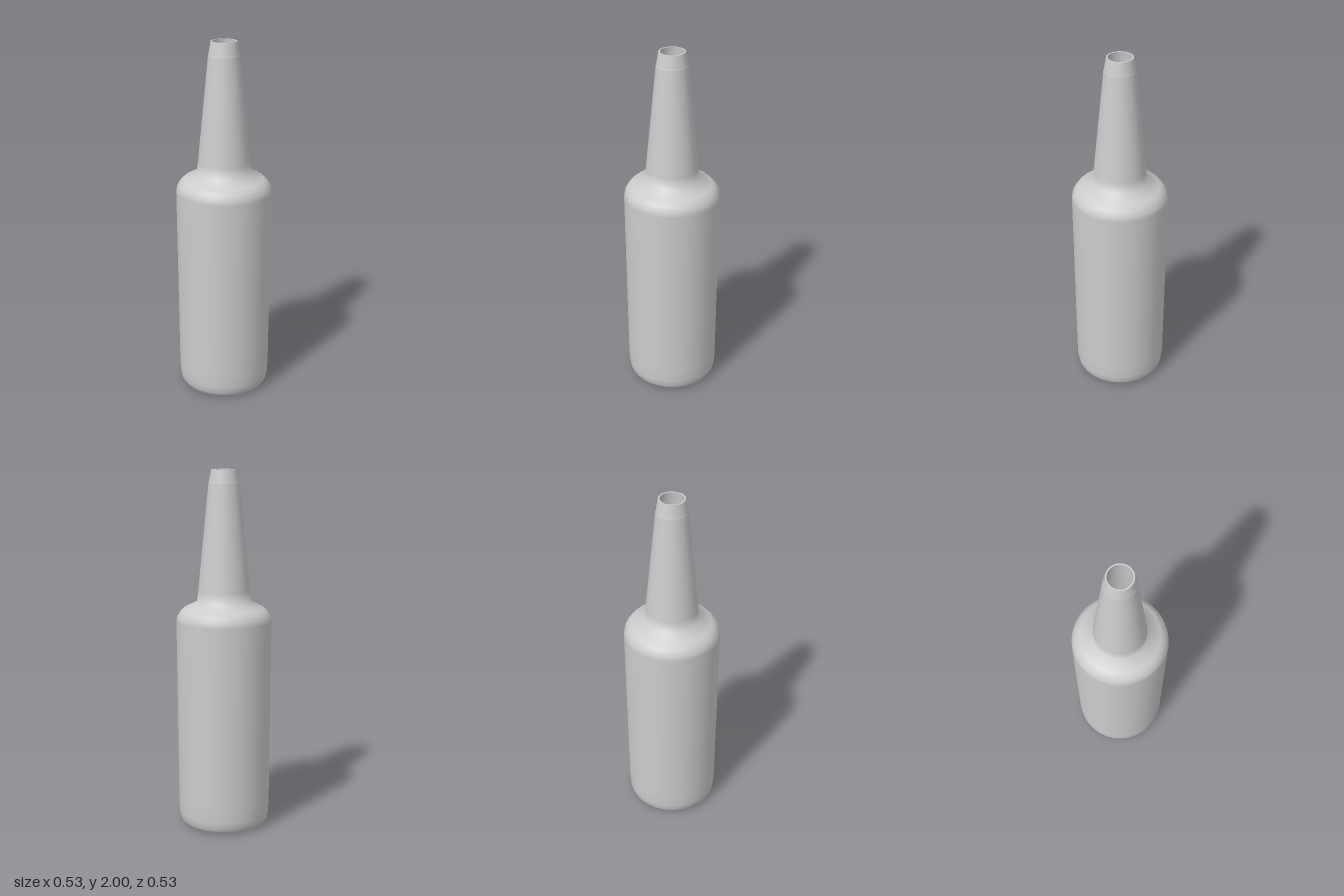
import * as THREE from 'three';

const SIDES = 32;

export function createModel() {
  const group = new THREE.Group();
  const grey = new THREE.MeshStandardMaterial({ color: 0xcccccc });
  grey.name = 'plain grey';

  // Turns one smooth stretch of the profile; separate stretches meet in a sharp edge
  const turn = (name, profile) => {
    const points = profile.map(([r, y]) => new THREE.Vector2(r, y));
    const mesh = new THREE.Mesh(new THREE.LatheGeometry(points, SIDES), grey);
    mesh.name = name;
    group.add(mesh);
  };

  // Hollow underside, rounded foot, body, shoulder and tapering neck
  turn('bottleBody', [
    [0, 0.06], [0.08, 0.053], [0.15, 0.033], [0.19, 0.01], [0.21, 0],
    [0.235, 0.008], [0.25, 0.03], [0.256, 0.07], [0.258, 0.15],
    [0.265, 1.17], [0.259, 1.2], [0.243, 1.225], [0.22, 1.245],
    [0.15, 1.28], [0.143, 1.34], [0.085, 1.925],
  ]);

  // Collar around the mouth
  turn('mouthCollar', [[0.085, 1.925], [0.082, 1.935], [0.071, 2]]);
  turn('mouthRim', [[0.071, 2], [0.063, 2]]);

  // Inner wall and floor
  turn('innerWall', [
    [0.063, 2], [0.074, 1.925], [0.135, 1.29], [0.21, 1.235],
    [0.248, 1.19], [0.254, 1.16], [0.246, 0.15], [0.235, 0.09],
  ]);
  turn('innerFloor', [[0.235, 0.09], [0, 0.09]]);

  return group;
}
